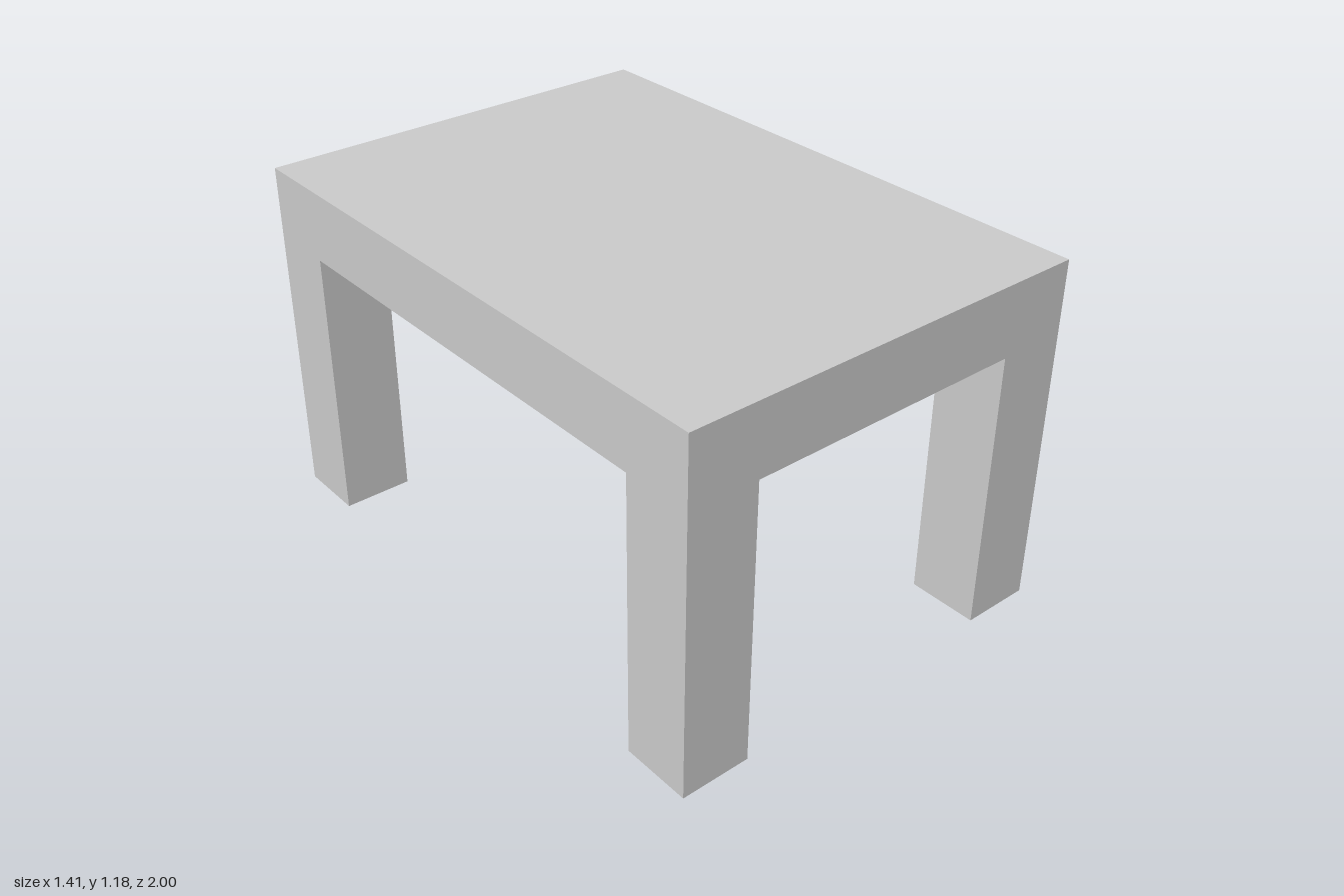
import * as THREE from 'three';

const U = 2 / 34; // base module: every dimension is a whole number of these
const WIDTH = 24 * U, DEPTH = 34 * U, HEIGHT = 20 * U;
const THICK = 4 * U; // slab thickness and leg width

export function createModel() {
  const group = new THREE.Group();
  group.name = 'table';
  const material = new THREE.MeshStandardMaterial({ color: 0xcccccc, flatShading: true });

  const addBox = (name, w, h, d, x, y, z) => {
    const mesh = new THREE.Mesh(new THREE.BoxGeometry(w, h, d), material);
    mesh.name = name;
    mesh.position.set(x, y, z);
    group.add(mesh);
  };

  // Thick slab top
  addBox('tableTop', WIDTH, THICK, DEPTH, 0, HEIGHT - THICK / 2, 0);

  // Square legs, flush with the corners of the top
  const legHeight = HEIGHT - THICK;
  for (const [zName, sz] of [['front', 1], ['back', -1]]) {
    for (const [xName, sx] of [['Left', 1], ['Right', -1]]) {
      addBox(`${zName}${xName}Leg`, THICK, legHeight, THICK,
        sx * (WIDTH - THICK) / 2, legHeight / 2, sz * (DEPTH - THICK) / 2);
    }
  }
  return group;
}
